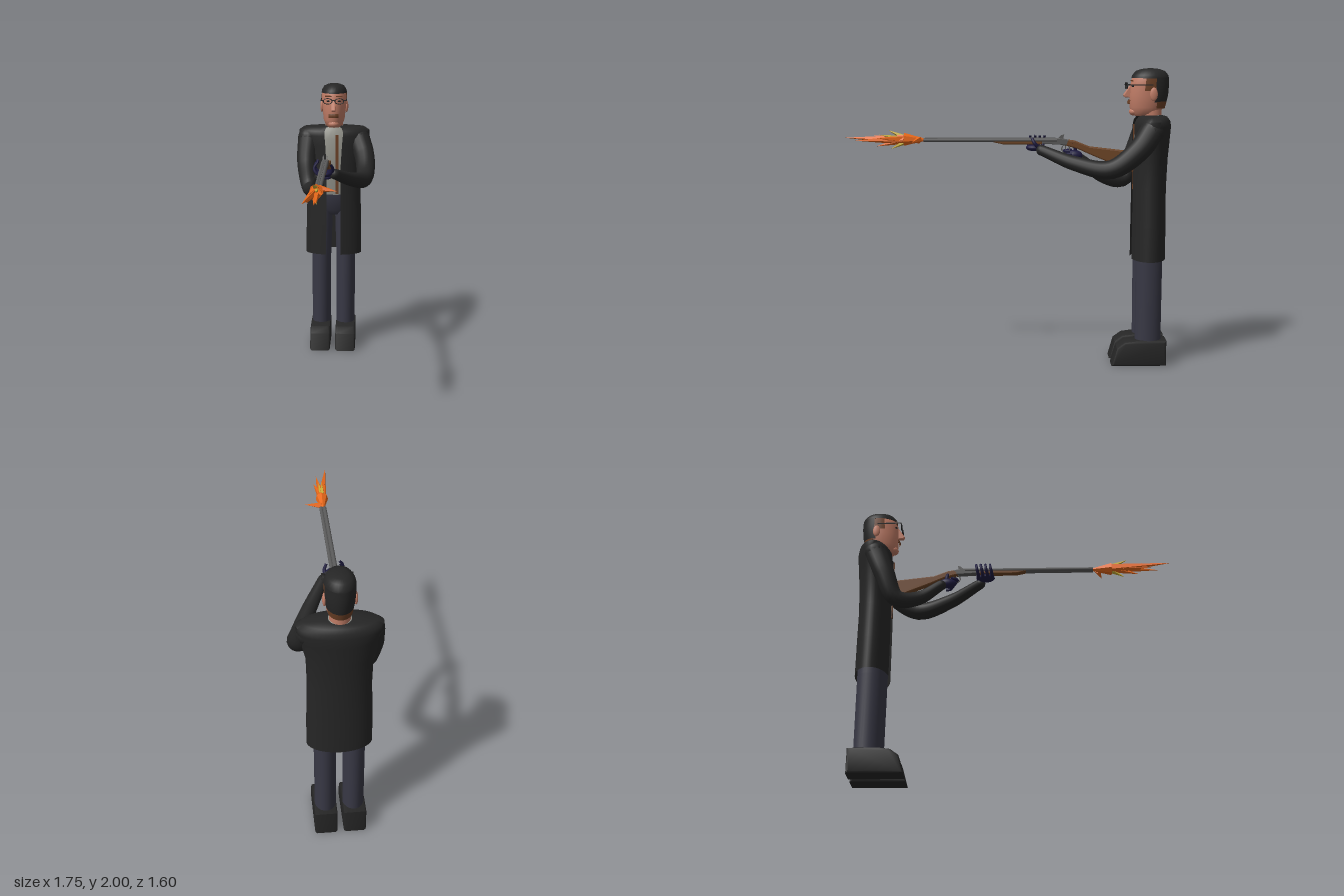
import * as THREE from 'three';
import { toCreasedNormals } from 'three/addons/utils/BufferGeometryUtils.js';

const mat = (name, color, side = THREE.FrontSide) => {
  const m = new THREE.MeshStandardMaterial({ color, side });
  m.name = name;
  return m;
};
const V = (x, y, z) => new THREE.Vector3(x, y, z);

// Stacked ellipse rings [y, centreZ, halfWidth, halfDepth]; angle 0 faces +z
function loft(rings, from = 0, to = Math.PI * 2, n = 28, crease = 0.7) {
  const pos = [], idx = [], w = n + 1;
  for (const [y, cz, a, b] of rings)
    for (let j = 0; j <= n; j++) {
      const t = from + (to - from) * j / n;
      pos.push(a * Math.sin(t), y, cz + b * Math.cos(t));
    }
  for (let i = 0; i < rings.length - 1; i++)
    for (let j = 0; j < n; j++) {
      const p = i * w + j;
      idx.push(p, p + 1, p + w + 1, p, p + w + 1, p + w);
    }
  if (to - from > 6.28) { // close both ends
    const last = rings.length - 1;
    [0, last].forEach((r, k) => {
      const c = pos.length / 3;
      pos.push(0, rings[r][0], rings[r][1]);
      for (let j = 0; j < n; j++) {
        const p = r * w + j;
        k ? idx.push(c, p, p + 1) : idx.push(c, p + 1, p);
      }
    });
  }
  const g = new THREE.BufferGeometry();
  g.setAttribute('position', new THREE.Float32BufferAttribute(pos, 3));
  g.setIndex(idx);
  return toCreasedNormals(g, crease);
}

// Tube whose radius blends from r0 to r1
function taperTube(points, r0, r1, segs = 28, sides = 14) {
  const g = new THREE.TubeGeometry(new THREE.CatmullRomCurve3(points), segs, r0, sides);
  const p = g.attributes.position, n = g.attributes.normal;
  for (let i = 0; i < p.count; i++) {
    const d = (r1 - r0) * Math.floor(i / (sides + 1)) / segs;
    p.setXYZ(i, p.getX(i) + n.getX(i) * d, p.getY(i) + n.getY(i) * d, p.getZ(i) + n.getZ(i) * d);
  }
  return g;
}

// Side profile of [z, y] points, extruded across x and centred on x = 0
function sideExtrude(points, width, bevel = 0) {
  const s = new THREE.Shape(points.map(([z, y]) => new THREE.Vector2(z, y)));
  const g = new THREE.ExtrudeGeometry(s, {
    depth: width - 2 * bevel, bevelEnabled: bevel > 0, bevelSize: bevel, bevelThickness: bevel, bevelOffset: -bevel, bevelSegments: 2,
  });
  return g.translate(0, 0, -(width - 2 * bevel) / 2).rotateY(-Math.PI / 2);
}

// Cone between two points
function spike(a, b, r, sides = 5) {
  const d = b.clone().sub(a), len = d.length();
  const g = new THREE.ConeGeometry(r, len, sides).translate(0, len / 2, 0);
  g.applyQuaternion(new THREE.Quaternion().setFromUnitVectors(V(0, 1, 0), d.normalize()));
  return toCreasedNormals(g.translate(a.x, a.y, a.z), 0.3);
}

export function createModel() {
  const black = mat('black cloth', 0x262626, THREE.DoubleSide);
  const trouser = mat('slate trousers', 0x383845);
  const skin = mat('skin', 0xc07c66);
  const brown = mat('brown hair', 0x6b4026, THREE.DoubleSide);
  const shirtMat = mat('grey shirt', 0x8e8e86);
  const metal = mat('gun metal', 0x5a5a5a);
  const wood = mat('wood', 0x6e4526);
  const orange = mat('orange flame', 0xe8681a, THREE.DoubleSide);
  const yellow = mat('yellow flame', 0xc9ad38, THREE.DoubleSide);
  const glove = mat('navy glove', 0x1e1b40);

  const root = new THREE.Group();
  root.name = 'figure';
  const body = new THREE.Group();
  body.name = 'body';
  body.position.set(0.67, 0, -0.59);
  body.rotation.y = -Math.PI / 4;
  root.add(body);
  const add = (name, g, m, parent = body) => {
    const o = new THREE.Mesh(g, m);
    o.name = name;
    parent.add(o);
    return o;
  };
  const ball = (name, p, s, m, parent = body) => {
    const o = add(name, new THREE.SphereGeometry(1, 18, 12), m, parent);
    o.position.copy(p);
    o.scale.copy(s);
    return o;
  };
  const box = (name, w, h, d, x, y, z, m) => add(name, new THREE.BoxGeometry(w, h, d).translate(x, y, z), m);

  // Shoes and legs
  const shoe = [[-0.12, 0], [-0.12, 0.175], [0.09, 0.175], [0.16, 0.165], [0.215, 0.125], [0.25, 0]];
  for (const s of [-1, 1]) {
    add('shoe', toCreasedNormals(sideExtrude(shoe, 0.15, 0.015), 0.5), black).position.x = s * 0.095;
    add('leg', loft([[0.17, 0, 0.07, 0.088], [0.7, 0, 0.072, 0.09], [1.08, 0, 0.085, 0.092]]), trouser).position.x = s * 0.092;
  }
  add('hips', loft([[1.02, 0, 0.1, 0.06], [1.06, 0, 0.16, 0.092], [1.18, 0, 0.17, 0.1]]), trouser);

  // Shirt, tie and open coat
  add('shirt', loft([[1.18, 0, 0.175, 0.1], [1.4, 0, 0.18, 0.106], [1.6, -0.01, 0.21, 0.108], [1.67, -0.01, 0.12, 0.08], [1.69, -0.01, 0.07, 0.065]]), shirtMat);
  box('tie', 0.022, 0.44, 0.006, 0.025, 1.41, 0.108, brown);
  const gap = 0.26;
  add('coat', loft([
    [0.72, 0, 0.21, 0.118], [0.95, 0, 0.207, 0.117], [1.2, 0, 0.2, 0.115], [1.4, -0.005, 0.205, 0.118],
    [1.55, -0.012, 0.24, 0.123], [1.62, -0.015, 0.262, 0.125], [1.655, -0.015, 0.262, 0.118], [1.68, -0.015, 0.225, 0.1], [1.69, -0.015, 0.07, 0.066],
  ], gap, Math.PI * 2 - gap, 40, 0.9), black);

  // Neck and head
  add('neck', loft([[1.63, -0.01, 0.066, 0.068], [1.76, -0.005, 0.064, 0.075]]), skin);
  add('head', loft([
    [1.685, 0.045, 0.045, 0.065], [1.7, 0.032, 0.062, 0.09], [1.74, 0.02, 0.078, 0.115], [1.82, 0.012, 0.086, 0.125],
    [1.89, 0.006, 0.091, 0.126], [1.94, 0.002, 0.089, 0.119], [1.975, 0, 0.073, 0.097], [1.99, 0, 0.04, 0.055],
  ], 0, Math.PI * 2, 28, 1), skin);
  add('hairCap', loft([[1.935, 0.001, 0.094, 0.125], [1.955, 0, 0.09, 0.12], [1.982, 0, 0.074, 0.098], [1.995, 0, 0.045, 0.06], [2, 0, 0.012, 0.016]], 0, Math.PI * 2, 28, 1), black);
  add('backHair', loft([[1.775, 0.012, 0.084, 0.122], [1.82, 0.01, 0.092, 0.131], [1.89, 0.005, 0.096, 0.131], [1.94, 0.001, 0.094, 0.125]], 1.85, Math.PI * 2 - 1.85, 20, 1), black);
  const burn = [[1.85, 0.01, 0.091, 0.13], [1.89, 0.006, 0.094, 0.13], [1.94, 0.001, 0.092, 0.123]];
  add('leftSideburn', loft(burn, 1.3, 1.86, 6, 1), brown);
  add('rightSideburn', loft(burn, Math.PI * 2 - 1.86, Math.PI * 2 - 1.3, 6, 1), brown);
  add('napeHair', loft([[1.735, 0.01, 0.077, 0.11], [1.78, 0.012, 0.086, 0.124]], 2, Math.PI * 2 - 2, 14, 1), brown);

  // Face
  add('nose', sideExtrude([[0.12, 1.9], [0.138, 1.885], [0.18, 1.822], [0.172, 1.808], [0.12, 1.803]], 0.03, 0.006), skin);
  add('moustache', loft([[1.762, 0.02, 0.082, 0.128], [1.775, 0.02, 0.086, 0.132], [1.79, 0.018, 0.085, 0.128]], -0.45, 0.45, 10), brown);
  ball('chin', V(0, 1.712, 0.105), V(0.04, 0.027, 0.034), skin);
  for (const s of [-1, 1]) {
    ball('ear', V(s * 0.092, 1.83, -0.015), V(0.012, 0.045, 0.026), skin);
    ball('eye', V(s * 0.038, 1.882, 0.118), V(0.014, 0.007, 0.01), black);
    const rim = add('glassesRim', new THREE.TorusGeometry(0.027, 0.0035, 6, 20).scale(1.2, 0.75, 1), black);
    rim.position.set(s * 0.042, 1.885, 0.158);
    box('glassesTemple', 0.004, 0.007, 0.17, s * 0.093, 1.89, 0.075, black);
    box('glassesHinge', 0.024, 0.007, 0.005, s * 0.083, 1.89, 0.158, black);
    box('eyebrow', 0.045, 0.008, 0.008, s * 0.04, 1.917, 0.122, brown);
  }
  box('glassesBridge', 0.02, 0.006, 0.005, 0, 1.89, 0.16, black);

  // Sleeves
  const arms = {
    left: [V(0.8, 1.595, -0.46), V(0.765, 1.47, -0.36), V(0.64, 1.345, -0.235), V(0.42, 1.375, -0.13), V(0.18, 1.455, -0.055)],
    right: [V(0.535, 1.595, -0.72), V(0.475, 1.42, -0.68), V(0.435, 1.245, -0.6), V(0.37, 1.27, -0.46), V(0.285, 1.385, -0.33)],
  };
  for (const [side, pts] of Object.entries(arms)) {
    add(side + 'Sleeve', taperTube(pts, 0.083, 0.036), black, root);
    ball(side + 'Shoulder', pts[0], V(0.083, 0.083, 0.083), black, root);
    ball(side + 'Cuff', pts[4], V(0.036, 0.036, 0.036), black, root);
  }

  // Double barrelled gun, slightly off the body's centre
  const gun = new THREE.Group();
  gun.name = 'gun';
  gun.position.x = -0.04;
  body.add(gun);
  for (const s of [-1, 1]) {
    add('barrel', new THREE.CylinderGeometry(0.0125, 0.0135, 0.9, 12).rotateX(Math.PI / 2).translate(s * 0.0125, 1.519, 1.07), metal, gun);
    add('hammer', sideExtrude([[0.58, 1.52], [0.62, 1.52], [0.59, 1.55], [0.57, 1.555]], 0.008), metal, gun).position.x = s * 0.013;
  }
  add('sightRib', new THREE.BoxGeometry(0.008, 0.008, 0.88).translate(0, 1.53, 1.07), metal, gun);
  add('receiver', sideExtrude([[0.55, 1.485], [0.72, 1.495], [0.72, 1.53], [0.6, 1.532], [0.54, 1.52]], 0.044, 0.004), metal, gun);
  add('forend', sideExtrude([[0.72, 1.49], [0.98, 1.49], [1.05, 1.505], [1.05, 1.518], [0.72, 1.518]], 0.044, 0.006), wood, gun);
  add('stock', sideExtrude([[0.1, 1.3], [0.38, 1.415], [0.48, 1.46], [0.57, 1.485], [0.57, 1.524], [0.5, 1.515], [0.4, 1.475], [0.1, 1.44]], 0.044, 0.008), wood, gun);
  add('triggerGuard', new THREE.TorusGeometry(0.027, 0.004, 6, 18).rotateY(Math.PI / 2).translate(0, 1.46, 0.56), metal, gun);
  add('trigger', new THREE.BoxGeometry(0.005, 0.03, 0.006).translate(0, 1.468, 0.56), metal, gun);

  // Gloved hands with curled fingers
  ball('leftPalm', V(-0.03, 1.468, 0.77), V(0.045, 0.024, 0.06), glove);
  ball('rightPalm', V(-0.065, 1.412, 0.5), V(0.032, 0.036, 0.058), glove);
  for (let i = 0; i < 4; i++) {
    const z = 0.715 + i * 0.032;
    add('leftFinger', taperTube([V(-0.03, 1.462, z), V(-0.085, 1.472, z), V(-0.105, 1.51, z - 0.01), V(-0.08, 1.55, z - 0.015)], 0.014, 0.008, 12, 8), glove);
    const y = 1.445 - i * 0.019, f = 0.55 - i * 0.014;
    add('rightFinger', taperTube([V(-0.075, y, f - 0.03), V(-0.055, y, f + 0.015), V(-0.02, y, f + 0.012), V(-0.008, y, f - 0.02)], 0.013, 0.009, 12, 8), glove);
  }
  add('leftThumb', taperTube([V(0.01, 1.465, 0.74), V(0.02, 1.5, 0.77), V(0.005, 1.535, 0.79)], 0.014, 0.009, 10, 8), glove);
  add('rightThumb', taperTube([V(-0.07, 1.43, 0.49), V(-0.055, 1.485, 0.5), V(-0.02, 1.5, 0.52)], 0.014, 0.009, 10, 8), glove);

  // Muzzle flash: a flared root and jagged tongues
  const heart = V(-0.045, 1.522, 1.65);
  add('flameRoot', spike(heart, V(-0.04, 1.52, 1.48), 0.045, 7), orange);
  const tongues = [
    [-0.107, 1.53, 2.06, 0.036], [-0.03, 1.515, 1.98, 0.034], [-0.09, 1.508, 1.93, 0.032], [0.0, 1.535, 1.83, 0.03],
    [-0.08, 1.545, 1.86, 0.032], [-0.05, 1.475, 1.84, 0.03],
  ];
  for (const [x, y, z, r] of tongues) add('flameTongue', spike(heart, V(x, y, z), r), orange);
  add('sideFlame', spike(V(-0.035, 1.52, 1.55), V(0.08, 1.51, 1.59), 0.024), orange);
  for (const [x, y, z] of [[-0.055, 1.585, 1.76], [-0.04, 1.458, 1.74], [-0.035, 1.555, 1.82]])
    add('yellowTongue', spike(V(-0.045, 1.522, 1.62), V(x, y, z), 0.027), yellow);

  return root;
}
